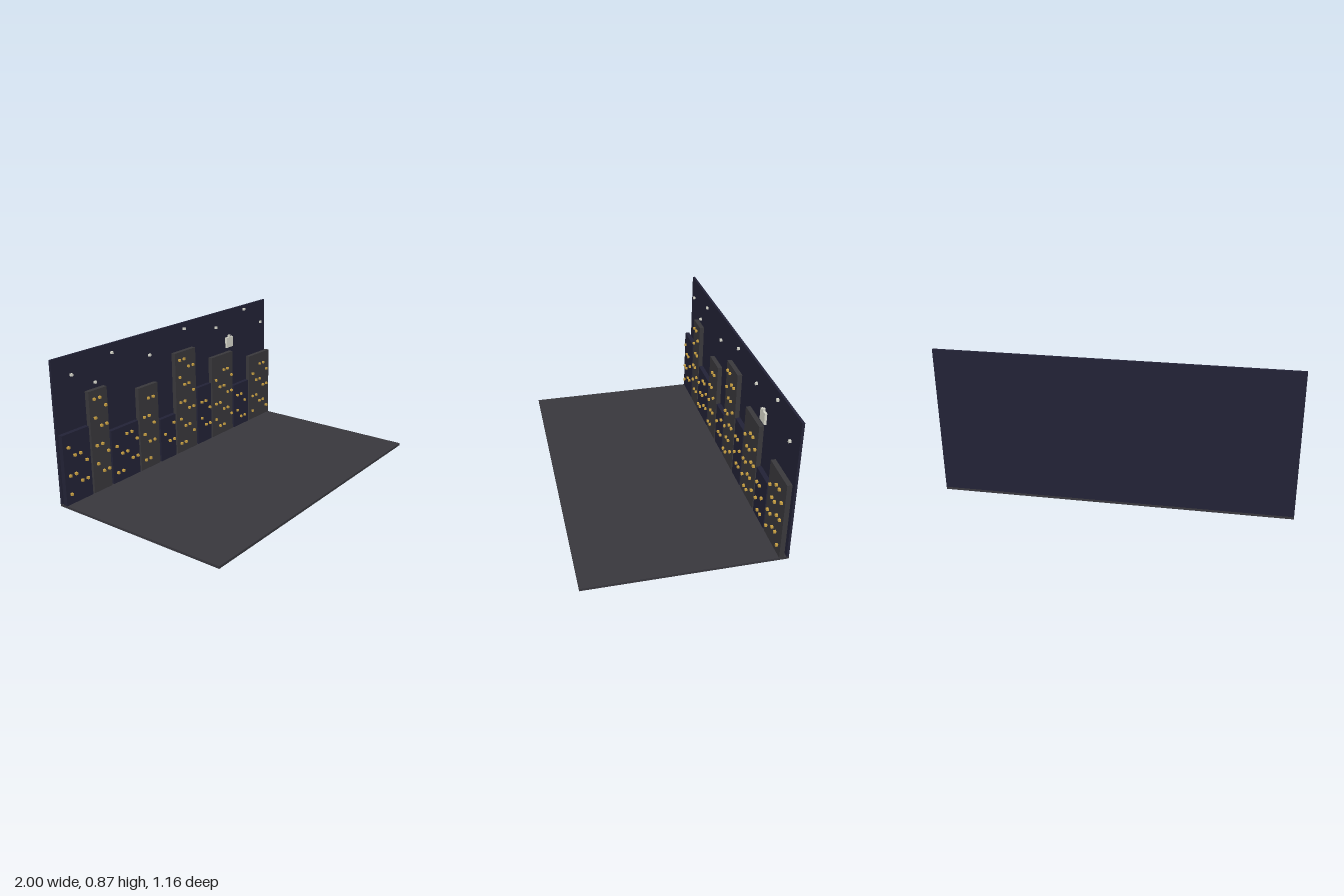
import * as THREE from 'three';

const U = 1 / 70; // one block of the grid everything is built on

export function createModel() {
  const model = new THREE.Group();
  model.name = 'citySkylineStage';

  const mat = (name, color) => {
    const m = new THREE.MeshStandardMaterial({ color });
    m.name = name;
    return m;
  };
  const nightBlue = mat('nightBlue', 0x222236);
  const concrete = mat('concreteGrey', 0x39383c);
  const asphalt = mat('asphaltGrey', 0x38373d);
  const gold = mat('windowGold', 0xc9a042);
  const pale = mat('moonWhite', 0xd8d8cc);

  // Box given by its low and high corners in blocks
  function block(name, material, [x0, y0, z0], [x1, y1, z1], parent = model) {
    const geo = new THREE.BoxGeometry((x1 - x0) * U, (y1 - y0) * U, (z1 - z0) * U);
    const mesh = new THREE.Mesh(geo, material);
    mesh.position.set((x0 + x1) / 2 * U, (y0 + y1) / 2 * U, (z0 + z1) / 2 * U);
    mesh.name = name;
    parent.add(mesh);
  }

  // Ground slab and night sky panel
  block('ground', asphalt, [-70, 0, -40.5], [70, 1, 40.5]);
  block('skyPanel', nightBlue, [-70, 1, -40.5], [70, 61, -39.5]);

  // Buildings: left edge, right edge, top, window columns, window rows, pattern shift
  const buildings = [
    [-70, -56, 31, 4, 6, 4],
    [-55, -45, 45, 3, 10, 3],
    [-44, -28, 25, 5, 5, 0],
    [-27, -15, 39, 3, 8, 0],
    [-14, -4, 21, 3, 4, 3],
    [-3, 11, 49, 4, 11, 0],
    [12, 22, 29, 3, 6, 3],
    [23, 39, 41, 5, 8, 1],
    [40, 52, 23, 3, 4, 1],
    [53, 70, 35, 5, 7, 4],
  ];
  buildings.forEach(([x0, x1, top, cols, rows, shift], i) => {
    const building = new THREE.Group();
    building.name = 'building' + (i + 1);
    model.add(building);
    block('tower', i % 2 ? concrete : nightBlue, [x0, 1, -38.5], [x1, top, -36.5], building);

    // Lit windows step diagonally across the front, two in every five
    for (let r = 0; r < rows; r++) {
      for (let c = 0; c < cols; c++) {
        if ((c + 2 * r + 5 - shift) % 5 > 1) continue;
        const x = x0 + 2 + 3 * c, y = 5 + 4 * r;
        block('window', gold, [x, y, -36.5], [x + 1, y + 1, -35.5], building);
      }
    }
  });

  // Stars floating in front of the sky
  const stars = [[-62, 53], [-50, 47], [-40, 57], [-18, 51], [5, 58], [28, 54], [50, 59], [64, 50]];
  for (const [x, y] of stars) block('star', pale, [x, y, -38.5], [x + 1, y + 1, -37.5]);

  // Blocky moon with a small tip
  block('moon', pale, [36, 43, -38.5], [41, 48, -37.5].map((v, i) => (i === 0 ? 43 : i === 1 ? 50 : v)).map((v, i) => [41, 48, -37.5][i]));
  block('moonTip', pale, [38, 48, -38.5], [39, 49, -37.5]);

  return model;
}
